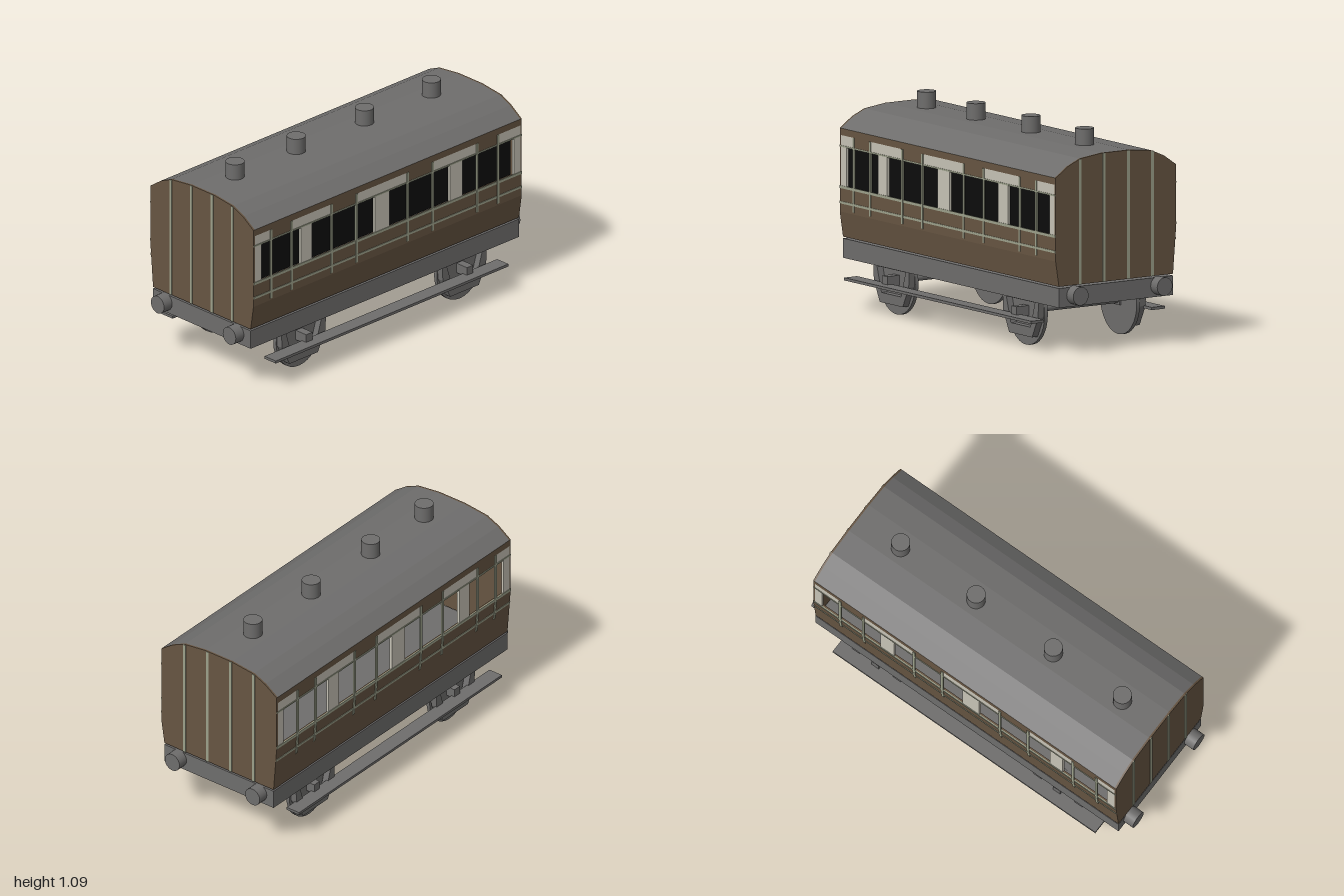
import * as THREE from 'three';

const mat = (name, color, side = THREE.FrontSide) => {
  const m = new THREE.MeshStandardMaterial({ color, side });
  m.name = name;
  return m;
};

export function createModel() {
  const gray = mat('dark gray', 0x6e6d6c);
  const brown = mat('brown', 0x675542);
  const cream = mat('cream', 0xc6c2b5);
  const trim = mat('sage trim', 0x9ca08a);
  const black = mat('window black', 0x0c0c0c);

  const root = new THREE.Group();
  root.name = 'railwayCoach';
  const add = (name, geo, material, parent = root) => {
    const m = new THREE.Mesh(geo, material);
    m.name = name;
    parent.add(m);
    return m;
  };
  // box from its limits
  const box = (name, x0, x1, y0, y1, z0, z1, material, parent) => {
    const m = add(name, new THREE.BoxGeometry(x1 - x0, y1 - y0, z1 - z0), material, parent);
    m.position.set((x0 + x1) / 2, (y0 + y1) / 2, (z0 + z1) / 2);
    return m;
  };
  const shapeOf = (pts) => new THREE.Shape(pts.map((p) => new THREE.Vector2(p[0], p[1])));
  // section in x/y, run along z
  const run = (name, pts, z0, z1, material, parent) => {
    const geo = new THREE.ExtrudeGeometry(shapeOf(pts), { depth: z1 - z0, bevelEnabled: false });
    geo.translate(0, 0, z0);
    return add(name, geo, material, parent);
  };

  // body section: sides lean in below a knee
  const END = 0.943, INNER = 0.933;
  const walls = {
    left: { s: 1, bottom: 0.34, top: 0.36, knee: 0.48 },
    right: { s: -1, bottom: -0.36, top: -0.38, knee: 0.6 },
  };
  const wallX = (w, y) =>
    y >= w.knee ? w.top : w.bottom + ((w.top - w.bottom) * (y - 0.35)) / (w.knee - 0.35);
  const roofLine = [[0.36, 0.905], [0.285, 0.957], [0.21, 0.99], [0.08, 1.006],
    [-0.09, 1.006], [-0.23, 0.99], [-0.305, 0.957], [-0.38, 0.905]];
  const section = [[-0.38, 0.6], [-0.36, 0.35], [0.34, 0.35], [0.36, 0.48], ...roofLine];

  // roof shell
  const underside = roofLine.map(([x, y]) => [-0.01 + (x + 0.01) * 0.965, y - 0.014]).reverse();
  run('roof', [...roofLine, ...underside], -INNER, INNER, gray);

  // roof ventilators
  for (const z of [0.71, 0.28, -0.2, -0.67]) {
    add('ventilator', new THREE.CylinderGeometry(0.048, 0.048, 0.1, 24), gray)
      .position.set(-0.01, 1.04, z);
  }

  // end walls with vertical strips
  for (const s of [1, -1]) {
    run('endWall', section, s > 0 ? INNER : -END, s > 0 ? END : -INNER, brown);
    for (const [x, top] of [[-0.232, 0.987], [-0.085, 1.004], [0.064, 1.004], [0.21, 0.987]]) {
      const z = s * END;
      box('endStrip', x - 0.008, x + 0.008, 0.35, top, z - 0.003, z + 0.003, trim);
    }
  }

  // side walls
  const doors = [[0.82, 0.675], [0.395, 0.22], [-0.14, -0.315], [-0.63, -0.775]];
  const posts = [[INNER, 0.885], [0.61, 0.53], [0.09, -0.015], [-0.44, -0.525], [-0.889, -INNER]];
  for (const [side, w] of Object.entries(walls)) {
    const g = new THREE.Group();
    g.name = side + 'Side';
    root.add(g);
    // wall piece that follows the side profile
    const band = (name, y0, y1, z0, z1, material, out = 0, thick = 0.014) => {
      const ys = [y0, ...(w.knee > y0 && w.knee < y1 ? [w.knee] : []), y1];
      const outer = ys.map((y) => [wallX(w, y) + w.s * out, y]);
      const inner = ys.map((y) => [wallX(w, y) + w.s * (out - thick), y]).reverse();
      run(name, [...outer, ...inner], Math.min(z0, z1), Math.max(z0, z1), material, g);
    };
    band('lowerPanel', 0.35, 0.61, -INNER, INNER, brown);
    band('topRail', 0.87, 0.905, -INNER, INNER, brown);
    for (const [a, b] of posts) band('windowPost', 0.61, 0.812, a, b, cream);
    // fascia alternates cream between doors and brown over doors
    let from = INNER;
    for (const [a, b] of doors) {
      band('fascia', 0.812, 0.87, from, a, cream);
      band('doorHead', 0.812, 0.87, a, b, brown);
      from = b;
    }
    band('fascia', 0.812, 0.87, from, -INNER, cream);
    // beading
    for (const [y, h] of [[0.528, 0.012], [0.607, 0.014], [0.815, 0.008]]) {
      band('horizontalBead', y - h / 2, y + h / 2, -END, END, trim, 0.003, 0.006);
    }
    for (const z of doors.flat()) {
      band('doorBead', 0.49, 0.87, z - 0.007, z + 0.007, trim, 0.004, 0.008);
    }
  }

  // dark glazing, facing outward on the left side
  const pane = new THREE.PlaneGeometry(1.768, 0.205);
  pane.rotateY(Math.PI / 2);
  add('glazing', pane, black).position.set(0.344, 0.712, 0.004);

  // chassis and buffers
  box('chassis', -0.36, 0.34, 0.242, 0.341, -END, END, gray);
  for (const x of [-0.27, 0.245]) {
    for (const s of [1, -1]) {
      const b = add('buffer', new THREE.CylinderGeometry(0.047, 0.047, 0.065, 24), gray);
      b.rotation.x = Math.PI / 2;
      b.position.set(x, 0.3, s * 0.9675);
    }
  }

  // wheel sets
  for (const z of [0.55, -0.58]) {
    const g = new THREE.Group();
    g.name = 'wheelSet';
    g.position.z = z;
    root.add(g);
    const axle = add('axle', new THREE.CylinderGeometry(0.017, 0.017, 0.54, 16), gray, g);
    axle.rotation.z = Math.PI / 2;
    axle.position.set(-0.008, 0.177, 0);
    for (const [wheelX, frameX, boxX] of [[-0.29, -0.34, -0.31], [0.275, 0.285, 0.32]]) {
      const geo = new THREE.CylinderGeometry(0.16, 0.16, 0.02, 32);
      geo.rotateZ(Math.PI / 2);
      geo.scale(1, 1.09, 1);
      add('wheel', geo, gray, g).position.set(wheelX, 0.1755, 0);

      // axle guard: open trapezoid frame
      const guard = shapeOf([[-0.157, 0.245], [-0.152, 0.16], [-0.1, 0.055],
        [0.1, 0.055], [0.152, 0.16], [0.157, 0.245]]);
      guard.holes.push(shapeOf([[-0.125, 0.235], [-0.085, 0.105], [0.085, 0.105], [0.125, 0.235]]));
      const guardGeo = new THREE.ExtrudeGeometry(guard, { depth: 0.035, bevelEnabled: false });
      guardGeo.rotateY(Math.PI / 2);
      add('axleGuard', guardGeo, gray, g).position.x = frameX;
      box('axleBox', boxX - 0.04, boxX + 0.04, 0.152, 0.204, -0.022, 0.022, gray, g);
    }
  }

  // footboards
  for (const s of [1, -1]) {
    box('footboard', s * 0.37 - 0.04, s * 0.37 + 0.04, 0.148, 0.162, -0.8, 0.835, gray);
  }
  return root;
}
